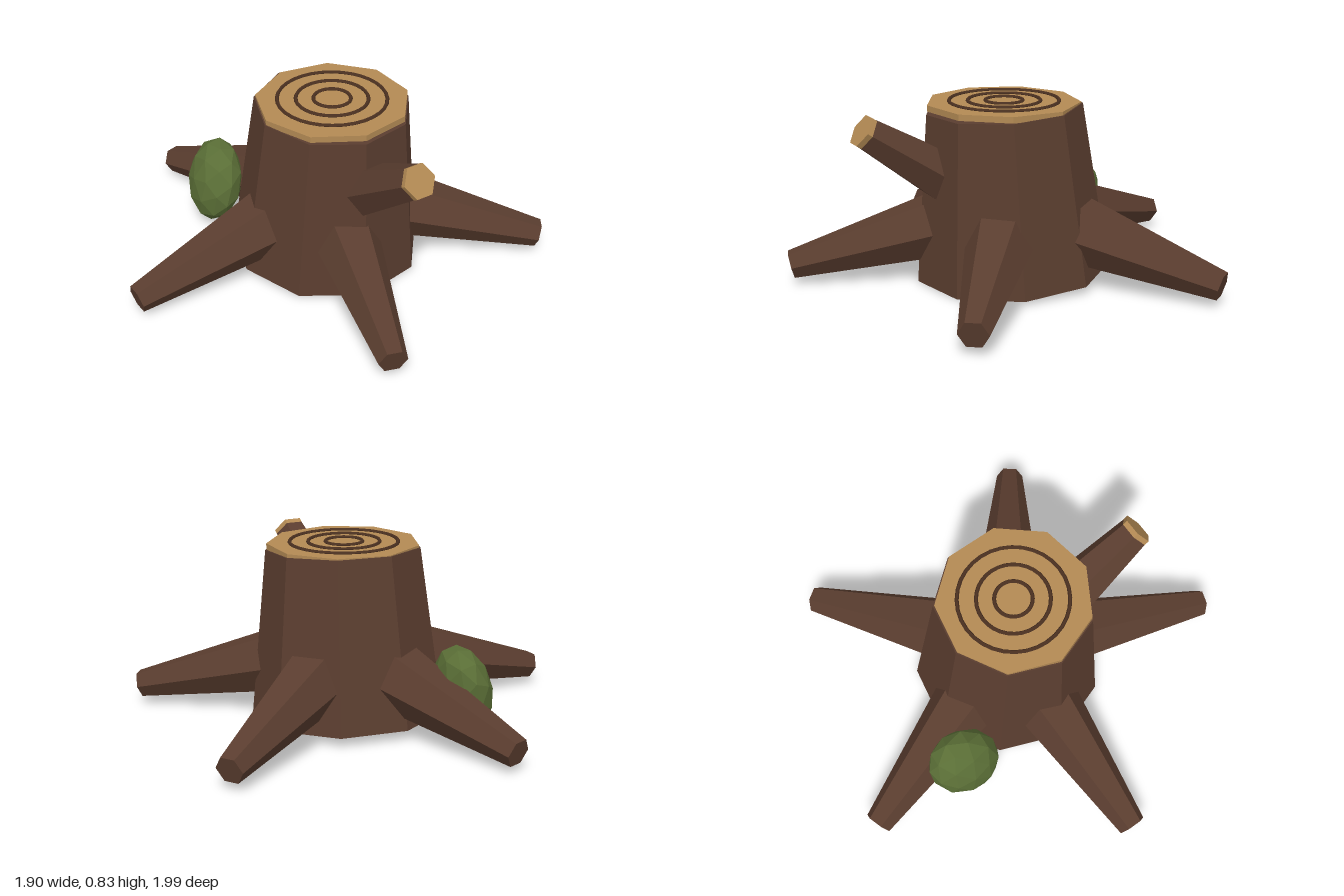
import * as THREE from 'three';

export function createModel() {
  const flat = (name, color) => {
    const m = new THREE.MeshStandardMaterial({ color, flatShading: true });
    m.name = name;
    return m;
  };
  const bark = flat('bark', 0x5a3d2f);
  const wood = flat('cutWood', 0xb38a54);
  const ringBrown = flat('ringBrown', 0x4a3020);
  const moss = flat('mossGreen', 0x5a6e36);

  const model = new THREE.Group();
  model.name = 'treeStump';
  const add = (name, geometry, material, x = 0, y = 0, z = 0) => {
    const mesh = new THREE.Mesh(geometry, material);
    mesh.name = name;
    mesh.position.set(x, y, z);
    model.add(mesh);
    return mesh;
  };

  const CX = 0.08;
  const START = THREE.MathUtils.degToRad(-10);

  // Trunk: nine-sided, leaning slightly forward
  const trunkGeo = new THREE.CylinderGeometry(0.36, 0.452, 0.777, 9, 1, false, START);
  trunkGeo.translate(0, 0.777 / 2, 0);
  add('trunk', trunkGeo, bark, CX, 0.025, 0).rotation.x = 0.056;

  // Level sawn face with growth rings
  add('cutFace', new THREE.CylinderGeometry(0.354, 0.354, 0.028, 9, 1, false, START), wood, CX, 0.81, 0.045);
  [0.085, 0.165, 0.25].forEach((radius, i) => {
    const ring = new THREE.TorusGeometry(radius, 0.009, 6, 32);
    ring.rotateX(Math.PI / 2);
    add('growthRing' + (i + 1), ring, ringBrown, CX, 0.826, 0.04);
  });

  // Six-sided tapered limb along a slope, between two (distance, height) points
  const limb = (d0, y0, r0, d1, y1, r1) => {
    const geo = new THREE.CylinderGeometry(r1, r0, Math.hypot(d1 - d0, y1 - y0), 6);
    geo.rotateZ(-Math.PI / 2 + Math.atan2(y1 - y0, d1 - d0));
    geo.translate((d0 + d1) / 2, (y0 + y1) / 2, 0);
    return geo;
  };

  // Five roots spread evenly around the trunk
  for (let i = 0; i < 5; i++) {
    const root = add('root' + (i + 1), limb(0.22, 0.281, 0.172, 1.02, 0.093, 0.066), bark, CX, 0, 0);
    root.rotation.y = Math.PI + (i * Math.PI * 2) / 5;
  }

  // Sawn-off branch at the front with its pale end
  add('branch', limb(0.25, 0.445, 0.134, 0.703, 0.74, 0.079), bark, 0.058).rotation.y = -Math.PI / 2;
  add('branchEnd', limb(0.7, 0.738, 0.08, 0.721, 0.752, 0.08), wood, 0.058).rotation.y = -Math.PI / 2;

  // Moss clump beside the back root
  const clump = add('mossClump', new THREE.IcosahedronGeometry(1, 1), moss, -0.255, 0.232, -0.485);
  clump.scale.set(0.12, 0.207, 0.172);
  clump.rotation.set(-0.25, 0, -0.3);

  return model;
}
